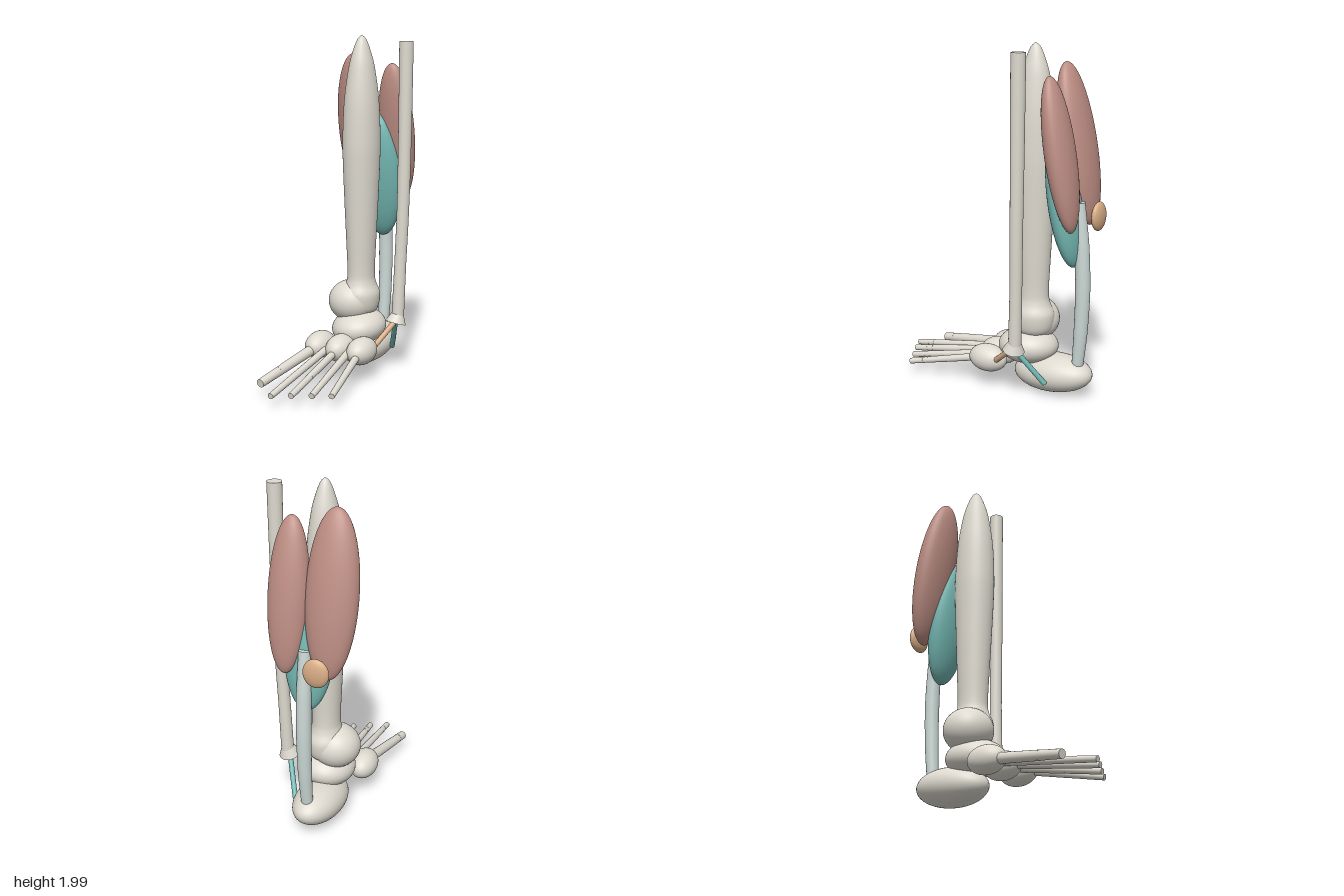
import * as THREE from 'three';

const mat = (color) => new THREE.MeshStandardMaterial({ color });
const bone = mat(0xdedad0), muscle = mat(0xbc8d83), deepMuscle = mat(0x74b8b3);
const tendonMat = mat(0xcbd8d5), ligament = mat(0xd8ad85);
const V = (p) => new THREE.Vector3(...p);

function add(parent, name, geometry, material) {
  const mesh = new THREE.Mesh(geometry, material);
  mesh.name = name;
  parent.add(mesh);
  return mesh;
}

// Ellipsoid with a centre, three radii and an optional tilt
function ellipsoid(parent, name, centre, radii, material, tilt = [0, 0, 0]) {
  const mesh = add(parent, name, new THREE.SphereGeometry(1, 48, 32), material);
  mesh.scale.set(...radii);
  mesh.position.set(...centre);
  mesh.rotation.set(...tilt);
  return mesh;
}

// Tapered rod from point a to point b
function rod(parent, name, a, b, ra, rb, material, sides = 20) {
  const from = V(a), dir = V(b).sub(from);
  const mesh = add(parent, name, new THREE.CylinderGeometry(rb, ra, dir.length(), sides), material);
  mesh.position.copy(from).addScaledVector(dir, 0.5);
  mesh.quaternion.setFromUnitVectors(new THREE.Vector3(0, 1, 0), dir.normalize());
  return mesh;
}

// Upright round sweep through [x, y, z, radius] stations, closed at both ends
function sweep(parent, name, stations, material, steps = 60, sides = 28) {
  const path = new THREE.CatmullRomCurve3(stations.map((s) => V(s)));
  const n = stations.length - 1;
  const geo = new THREE.CylinderGeometry(1, 1, 1, sides, steps);
  const pos = geo.attributes.position;
  for (let i = 0; i < pos.count; i++) {
    const t = THREE.MathUtils.clamp(pos.getY(i) + 0.5, 0, 1);
    const k = Math.min(Math.floor(t * n), n - 1);
    const r = THREE.MathUtils.lerp(stations[k][3], stations[k + 1][3], t * n - k);
    const c = path.getPoint(t);
    pos.setXYZ(i, c.x + pos.getX(i) * r, c.y, c.z + pos.getZ(i) * r);
  }
  geo.computeVertexNormals();
  return add(parent, name, geo, material);
}

export function createModel() {
  const model = new THREE.Group();
  model.name = 'lowerLeg';

  // Shin bone: turned spindle, a little deeper than wide
  const profile = [[0.001, 0.34], [0.09, 0.36], [0.112, 0.46], [0.088, 0.53], [0.08, 0.6], [0.088, 0.8],
    [0.097, 1.0], [0.107, 1.25], [0.109, 1.4], [0.1, 1.62], [0.075, 1.81], [0.05, 1.91], [0.025, 1.975], [0, 2.0]];
  const curve = new THREE.SplineCurve(profile.map(([r, y]) => new THREE.Vector2(r, y)));
  const points = curve.getPoints(70).map((p) => p.setX(Math.max(p.x, 0)));
  const shin = add(model, 'shinBone', new THREE.LatheGeometry(points, 40), bone);
  shin.position.set(-0.022, 0, -0.245);
  shin.scale.z = 1.12;

  // Ankle and heel
  ellipsoid(model, 'innerAnkle', [-0.073, 0.415, -0.23], [0.144, 0.128, 0.142], bone);
  ellipsoid(model, 'ankleBone', [-0.02, 0.265, -0.217], [0.16, 0.107, 0.178], bone, [0.06, 0, 0.1]);
  ellipsoid(model, 'heelBone', [-0.033, 0.125, -0.373], [0.138, 0.112, 0.25], bone, [0.1, -0.06, 0]);

  // Outer leg bone with a flared foot
  sweep(model, 'outerLegBone', [[0.216, 0.345, -0.262, 0.037], [0.224, 0.65, -0.272, 0.035],
    [0.235, 1.0, -0.28, 0.036], [0.24, 1.45, -0.286, 0.039], [0.242, 1.965, -0.29, 0.041]], bone);
  rod(model, 'outerLegBoneFlare', [0.208, 0.308, -0.25], [0.216, 0.36, -0.263], 0.062, 0.036, bone, 32);

  // Midfoot bones
  for (const x of [-0.175, -0.037, 0.102]) {
    ellipsoid(model, 'midfootBone', [x, 0.182, -0.016], [0.081, 0.08, 0.119], bone);
  }

  // Toes: base, tip and the z of each joint between
  const toes = [
    { base: [-0.18, 0.175, 0.05], tip: [-0.255, 0.09, 0.52], joints: [0.368, 0.448], r: 0.031 },
    { base: [-0.103, 0.175, 0.05], tip: [-0.115, 0.077, 0.635], joints: [0.41, 0.515, 0.555], r: 0.022 },
    { base: [-0.037, 0.175, 0.05], tip: [-0.016, 0.08, 0.587], joints: [0.37, 0.46, 0.5], r: 0.022 },
    { base: [0.042, 0.175, 0.05], tip: [0.083, 0.08, 0.535], joints: [0.322, 0.418, 0.45], r: 0.022 },
    { base: [0.11, 0.175, 0.05], tip: [0.18, 0.08, 0.487], joints: [0.267, 0.371, 0.402], r: 0.022 },
  ];
  toes.forEach(({ base, tip, joints, r }, i) => {
    const toe = new THREE.Group();
    toe.name = `toe${i + 1}`;
    model.add(toe);
    const at = (z) => V(base).lerp(V(tip), (z - base[2]) / (tip[2] - base[2])).toArray();
    const stops = [base[2], ...joints, tip[2]];
    for (let k = 0; k < stops.length - 1; k++) {
      const thick = r * (k ? 0.92 - 0.03 * k : 1);
      rod(toe, k ? 'toeBone' : 'longFootBone', at(stops[k]), at(stops[k + 1]), thick, thick * (k ? 0.93 : 0.9), bone);
    }
  });

  // Calf muscles, leaning backward toward the heel
  ellipsoid(model, 'innerCalfMuscle', [-0.138, 1.447, -0.458], [0.145, 0.456, 0.087], muscle, [0.19, 0, 0]);
  ellipsoid(model, 'outerCalfMuscle', [0.1, 1.418, -0.47], [0.113, 0.424, 0.077], muscle, [0.175, 0, 0]);
  ellipsoid(model, 'deepCalfMuscle', [-0.008, 1.16, -0.45], [0.145, 0.386, 0.085], deepMuscle, [0.16, 0, 0]);

  // Heel tendon
  sweep(model, 'heelTendon', [[-0.015, 0.17, -0.535, 0.032], [-0.012, 0.4, -0.555, 0.039],
    [-0.012, 0.65, -0.563, 0.042], [-0.012, 0.9, -0.553, 0.041], [-0.012, 1.15, -0.53, 0.034]], tendonMat);

  // Small pad behind the calf
  ellipsoid(model, 'calfPad', [-0.102, 1.063, -0.607], [0.073, 0.082, 0.03], ligament);

  // Outer ankle ligaments
  rod(model, 'frontLigament', [0.21, 0.32, -0.245], [0.145, 0.195, -0.095], 0.016, 0.016, ligament);
  rod(model, 'rearLigament', [0.208, 0.32, -0.25], [0.115, 0.107, -0.4], 0.015, 0.015, deepMuscle);

  return model;
}
